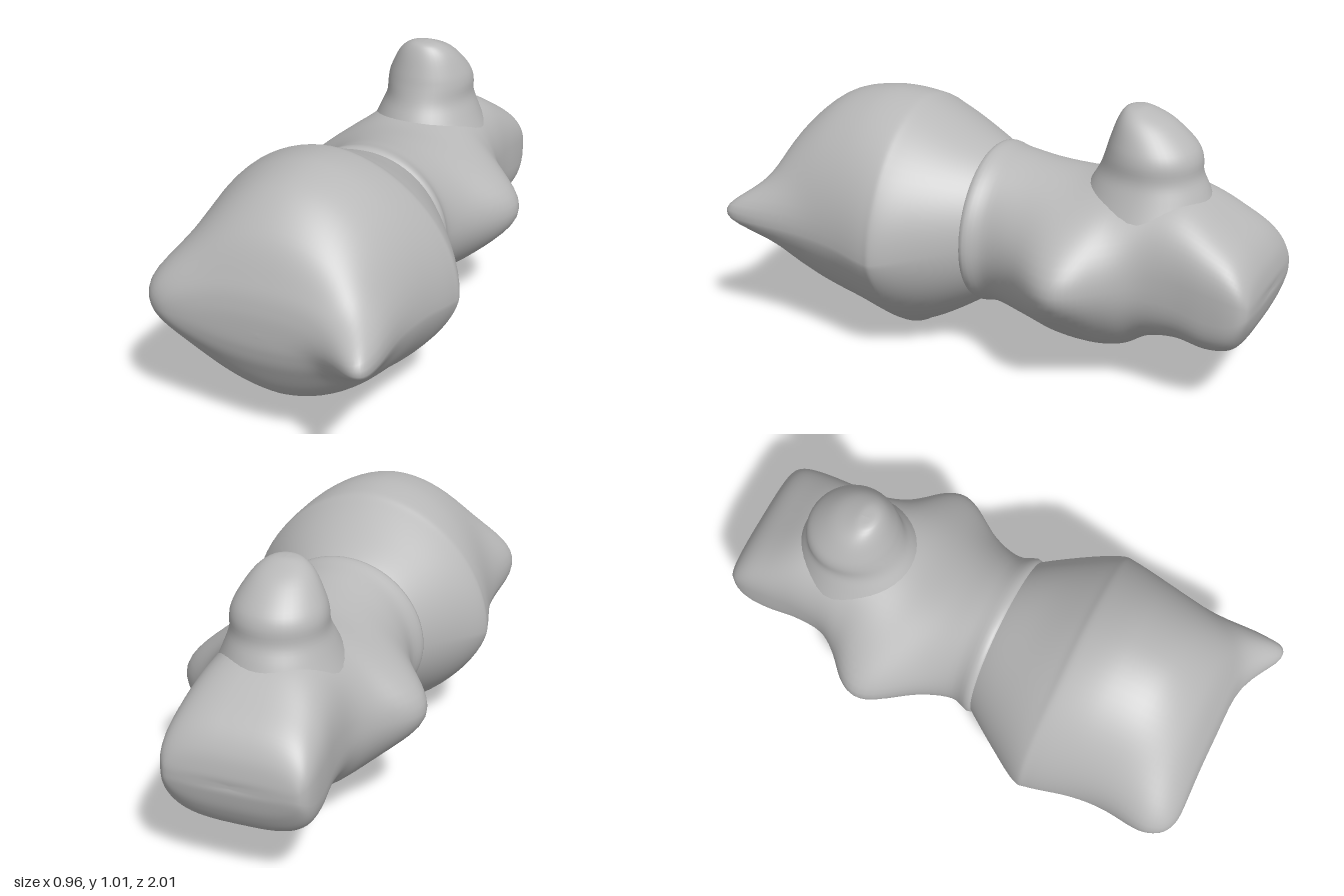
import * as THREE from 'three';

const stone = new THREE.MeshStandardMaterial({ color: 0xb8b8b8 });
stone.name = 'plain grey';

// Smooth interpolation through a table of cross-sections
function sampleRows(rows, t) {
  const f = t * (rows.length - 1);
  const i = Math.min(Math.floor(f), rows.length - 2);
  const u = f - i;
  const at = (k) => rows[Math.max(0, Math.min(rows.length - 1, k))];
  return rows[0].map((_, c) => {
    const [a, b, d, e] = [at(i - 1)[c], at(i)[c], at(i + 1)[c], at(i + 2)[c]];
    return b + 0.5 * u * (d - a + u * (2 * a - 5 * b + 4 * d - e + u * (3 * (b - d) + e - a)));
  });
}

// Loft along z (rows run from high z to low z).
// Row: [z, top, bottom, height of widest point, half width, upper power, lower power]
// Bump: { at, size, push } swells the skin softly around a point.
function loft(rows, bumps = [], steps = 48, sides = 56) {
  const pos = [], index = [];
  for (let i = 0; i <= steps; i++) {
    const [z, top, bottom, mid, w, pt, pb] = sampleRows(rows, i / steps);
    for (let j = 0; j < sides; j++) {
      const a = (j / sides) * Math.PI * 2;
      const c = Math.cos(a), s = Math.sin(a);
      const p = 2 / (s > 0 ? pt : pb);
      const v = [
        Math.max(w, 0) * Math.sign(c) * Math.abs(c) ** p,
        mid + (s > 0 ? top - mid : bottom - mid) * Math.abs(s) ** p,
        z,
      ];
      const base = [...v];
      for (const { at, size, push } of bumps) {
        const d = base.reduce((sum, q, k) => sum + ((q - at[k]) / size[k]) ** 2, 0);
        const g = Math.exp(-d);
        for (let k = 0; k < 3; k++) v[k] += push[k] * g;
      }
      pos.push(...v);
      if (i < steps) {
        const n = (j + 1) % sides;
        const p0 = i * sides + j, p1 = p0 + sides;
        const q0 = i * sides + n, q1 = q0 + sides;
        index.push(p0, p1, q1, p0, q1, q0);
      }
    }
  }
  const geo = new THREE.BufferGeometry();
  geo.setAttribute('position', new THREE.Float32BufferAttribute(pos, 3));
  geo.setIndex(index);
  geo.computeVertexNormals();
  return geo;
}

export function createModel() {
  const model = new THREE.Group();
  model.name = 'lumpyFigure';
  const add = (name, geo) => {
    const mesh = new THREE.Mesh(geo, stone);
    mesh.name = name;
    model.add(mesh);
  };

  // Large front body with a keeled underside and two front corners
  add('frontBody', loft([
    [0.915, 0.48, 0.47, 0.475, 0.0, 2, 2],
    [0.91, 0.56, 0.41, 0.48, 0.26, 2.2, 2],
    [0.885, 0.65, 0.33, 0.48, 0.35, 2.2, 2],
    [0.81, 0.79, 0.20, 0.47, 0.385, 2, 1.8],
    [0.68, 0.895, 0.115, 0.46, 0.41, 1.9, 1.7],
    [0.52, 0.934, 0.055, 0.45, 0.44, 1.9, 1.6],
    [0.38, 0.925, 0.003, 0.43, 0.472, 1.9, 1.5],
    [0.32, 0.90, 0.025, 0.43, 0.472, 1.9, 1.55],
    [0.2, 0.84, 0.095, 0.45, 0.40, 2, 1.8],
    [0.06, 0.775, 0.19, 0.47, 0.305, 2, 2],
    [-0.02, 0.72, 0.25, 0.47, 0.24, 2, 2],
  ], [
    // pointed corner on the left, blunt corner on the right
    { at: [0.36, 0.49, 0.86], size: [0.11, 0.09, 0.14], push: [0.05, 0, 0.13] },
    { at: [-0.38, 0.53, 0.80], size: [0.14, 0.15, 0.14], push: [-0.065, 0, 0.035] },
  ], 64, 72));

  // Waist, hips and squared rear block
  add('rearBody', loft([
    [0.1, 0.72, 0.25, 0.47, 0.22, 2, 2],
    [0.06, 0.782, 0.185, 0.47, 0.312, 2, 2],
    [-0.02, 0.772, 0.185, 0.46, 0.292, 2, 2],
    [-0.14, 0.75, 0.155, 0.45, 0.31, 2, 2],
    [-0.28, 0.735, 0.12, 0.44, 0.335, 2.1, 2],
    [-0.4, 0.745, 0.10, 0.44, 0.33, 2.1, 1.9],
    [-0.5, 0.76, 0.12, 0.44, 0.30, 2.1, 2],
    [-0.6, 0.76, 0.185, 0.45, 0.272, 2.3, 2.3],
    [-0.72, 0.735, 0.22, 0.45, 0.265, 2.6, 2.8],
    [-0.84, 0.665, 0.213, 0.43, 0.27, 3, 3.2],
    [-0.93, 0.60, 0.235, 0.42, 0.268, 3.2, 3.2],
    [-0.98, 0.53, 0.31, 0.42, 0.25, 3.2, 3],
    [-1.0, 0.46, 0.385, 0.42, 0.20, 3, 3],
    [-1.0, 0.425, 0.415, 0.42, 0.0, 3, 3],
  ], [1, -1].map((s) => (
    // side lumps
    { at: [s * 0.34, 0.44, -0.33], size: [0.2, 0.17, 0.16], push: [s * 0.115, 0, -0.02] }
  )), 64, 64));

  // Leaning knob on the back, lofted upright
  add('knob', loft([
    [1.015, 0.50, 0.48, 0.49, 0.0, 2, 2],
    [1.008, 0.53, 0.445, 0.49, 0.055, 2, 2],
    [0.97, 0.615, 0.42, 0.51, 0.105, 2, 2],
    [0.9, 0.695, 0.395, 0.545, 0.148, 2, 2],
    [0.85, 0.722, 0.38, 0.56, 0.165, 2, 2],
    [0.79, 0.728, 0.358, 0.56, 0.168, 2, 2],
    [0.73, 0.755, 0.325, 0.55, 0.19, 2, 2],
    [0.64, 0.79, 0.28, 0.54, 0.23, 2, 2],
  ], [], 28, 40).rotateX(-Math.PI / 2));

  return model;
}
